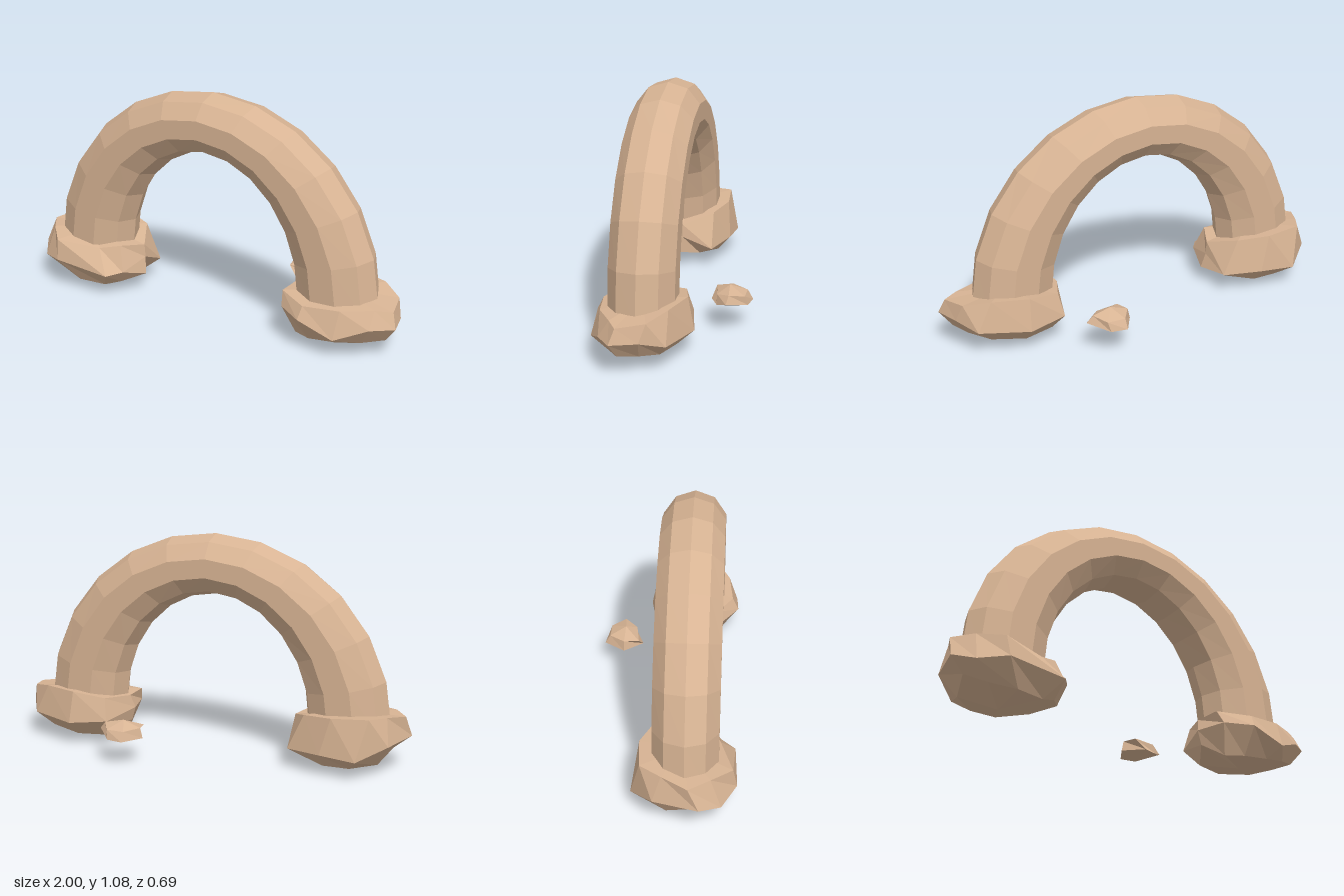
import * as THREE from 'three';

// Skin consecutive rings of points; a ring of one point closes the end.
function loft(rings) {
  const n = Math.max(...rings.map(r => r.length));
  const at = (r, i) => (r.length === 1 ? r[0] : r[i % n]);
  const pos = [];
  const tri = (a, b, c) => {
    if (a !== b && b !== c && a !== c) pos.push(...a, ...b, ...c);
  };
  for (let k = 0; k < rings.length - 1; k++) {
    for (let i = 0; i < n; i++) {
      const a = at(rings[k], i), b = at(rings[k + 1], i);
      const c = at(rings[k + 1], i + 1), d = at(rings[k], i + 1);
      tri(a, b, c);
      tri(a, c, d);
    }
  }
  const g = new THREE.BufferGeometry();
  g.setAttribute('position', new THREE.Float32BufferAttribute(pos, 3));
  g.computeVertexNormals();
  return g;
}

// Half arch with a ten-sided section, thicker at the legs than at the crown.
function archGeometry() {
  const rings = [], steps = 12, sides = 10;
  for (let k = 0; k <= steps; k++) {
    const t = Math.PI * (0.5 - k / steps);
    const ring = [];
    for (let i = 0; i < sides; i++) {
      const a = (i / sides) * Math.PI * 2;
      ring.push([
        -0.025 + (0.685 + 0.205 * Math.cos(a)) * Math.sin(t),
        0.205 + (0.7325 + 0.1475 * Math.cos(a)) * Math.cos(t),
        0.102 + 0.16 * Math.sin(a),
      ]);
    }
    rings.push(ring);
  }
  return loft(rings);
}

// Rock cross-sections, bottom to top, each running from +x towards +z.
const rightRock = [
  [[-0.715, 0.003, 0.1]],
  [[-0.42, 0.085, 0.12], [-0.5, 0.06, 0.22], [-0.58, 0.035, 0.25], [-0.72, 0.04, 0.27], [-0.84, 0.06, 0.22],
    [-0.92, 0.105, 0.14], [-0.875, 0.05, 0.02], [-0.76, 0.04, -0.06], [-0.63, 0.04, -0.06], [-0.5, 0.06, 0.02]],
  [[-0.435, 0.165, 0.1], [-0.46, 0.13, 0.26], [-0.515, 0.12, 0.33], [-0.805, 0.15, 0.34], [-0.93, 0.13, 0.27],
    [-1, 0.165, 0.17], [-0.94, 0.16, -0.04], [-0.81, 0.1, -0.145], [-0.63, 0.11, -0.125], [-0.45, 0.1, -0.05]],
  [[-0.44, 0.23, 0.1], [-0.5, 0.25, 0.22], [-0.6, 0.23, 0.26], [-0.815, 0.25, 0.32], [-0.91, 0.27, 0.22],
    [-0.98, 0.27, 0.12], [-0.92, 0.29, 0], [-0.86, 0.3, -0.1], [-0.68, 0.29, -0.11], [-0.53, 0.275, -0.05]],
  [[-0.71, 0.28, 0.1]],
];
const leftRock = [
  [[0.66, 0.03, 0.1]],
  [[0.94, 0.09, 0.17], [0.84, 0.07, 0.22], [0.72, 0.05, 0.24], [0.58, 0.035, 0.24], [0.49, 0.03, 0.2],
    [0.43, 0.1, 0.1], [0.5, 0.04, 0], [0.66, 0.045, -0.05], [0.82, 0.06, 0], [0.9, 0.08, 0.08]],
  [[1, 0.165, 0.195], [0.9, 0.16, 0.26], [0.75, 0.1, 0.325], [0.57, 0.16, 0.33], [0.445, 0.17, 0.255],
    [0.41, 0.17, 0.1], [0.48, 0.14, -0.1], [0.67, 0.12, -0.13], [0.9, 0.13, -0.04], [0.965, 0.165, 0.07]],
  [[0.975, 0.235, 0.17], [0.9, 0.24, 0.21], [0.76, 0.23, 0.28], [0.58, 0.22, 0.3], [0.43, 0.235, 0.22],
    [0.43, 0.235, 0.08], [0.5, 0.25, -0.07], [0.66, 0.275, -0.1], [0.83, 0.275, -0.04], [0.94, 0.25, 0.04]],
  [[0.68, 0.26, 0.1]],
];
const pebble = [
  [[0.32, 0.105, -0.245]],
  [[0.44, 0.155, -0.24], [0.38, 0.13, -0.19], [0.29, 0.125, -0.155], [0.213, 0.13, -0.25],
    [0.28, 0.13, -0.35], [0.36, 0.13, -0.335]],
  [[0.41, 0.19, -0.25], [0.36, 0.175, -0.19], [0.24, 0.175, -0.175], [0.225, 0.18, -0.25],
    [0.28, 0.175, -0.325], [0.37, 0.175, -0.32]],
  [[0.315, 0.21, -0.245]],
];

export function createModel() {
  const sandstone = new THREE.MeshStandardMaterial({ color: 0xd8b494 });
  sandstone.name = 'sandstone';
  const model = new THREE.Group();
  model.name = 'stoneArch';
  const add = (name, geometry) => {
    const mesh = new THREE.Mesh(geometry, sandstone);
    mesh.name = name;
    model.add(mesh);
  };
  add('arch', archGeometry());
  add('rightBaseRock', loft(rightRock));
  add('leftBaseRock', loft(leftRock));
  add('pebble', loft(pebble));
  return model;
}
